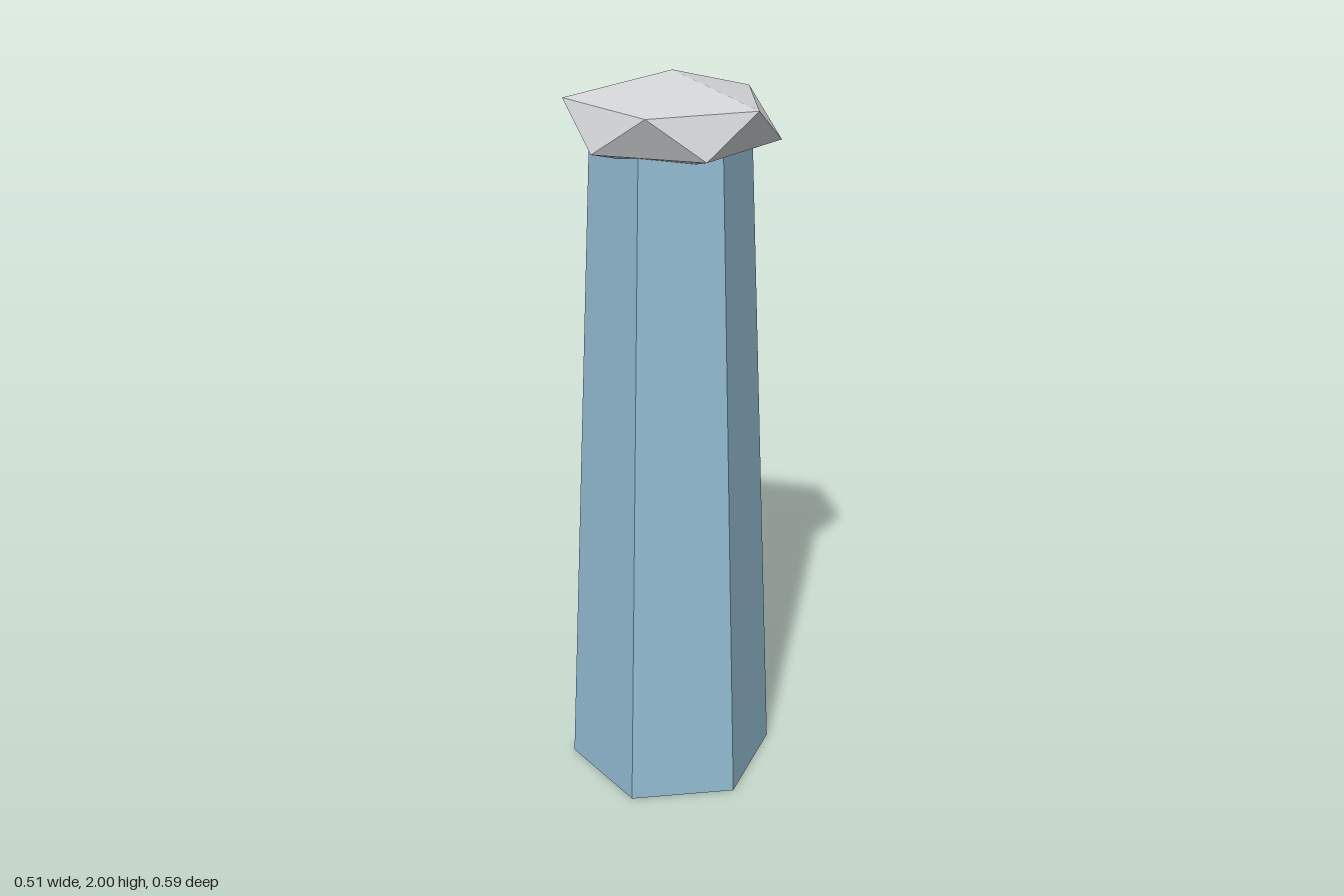
import * as THREE from 'three';

const shaftBlue = new THREE.MeshStandardMaterial({ color: 0x92bbd2, flatShading: true });
shaftBlue.name = 'pale blue';
const capGrey = new THREE.MeshStandardMaterial({ color: 0xd2d4d5, flatShading: true });
capGrey.name = 'light grey';

// Flattened twenty-sided stone: two rings of five, point-symmetric about its centre
function createCapGeometry() {
  const ring = [[0.256, -0.01], [0.085, -0.243], [-0.219, -0.165], [-0.206, 0.163], [0.065, 0.255]];
  const upper = ring.map(([x, z]) => new THREE.Vector3(x, 0.0525, z));
  const lower = ring.map((_, i) => upper[(i + 3) % 5].clone().negate());
  const apex = new THREE.Vector3(0.01, 0.1175, -0.015);
  const foot = apex.clone().negate();
  const points = [];
  for (let i = 0; i < 5; i++) {
    const j = (i + 1) % 5;
    points.push(
      apex, upper[i], upper[j],
      upper[i], lower[i], upper[j],
      lower[i], lower[j], upper[j],
      foot, lower[j], lower[i]
    );
  }
  const geometry = new THREE.BufferGeometry().setFromPoints(points);
  geometry.computeVertexNormals();
  return geometry;
}

export function createModel() {
  const model = new THREE.Group();
  model.name = 'post';

  // Tapered six-sided shaft, its top tucked into the cap
  const shaft = new THREE.Mesh(new THREE.CylinderGeometry(0.206, 0.293, 1.86, 6), shaftBlue);
  shaft.name = 'shaft';
  shaft.position.set(-0.003, 0.93, -0.002);

  const cap = new THREE.Mesh(createCapGeometry(), capGrey);
  cap.name = 'cap';
  cap.position.y = 1.8825;

  model.add(shaft, cap);
  return model;
}
